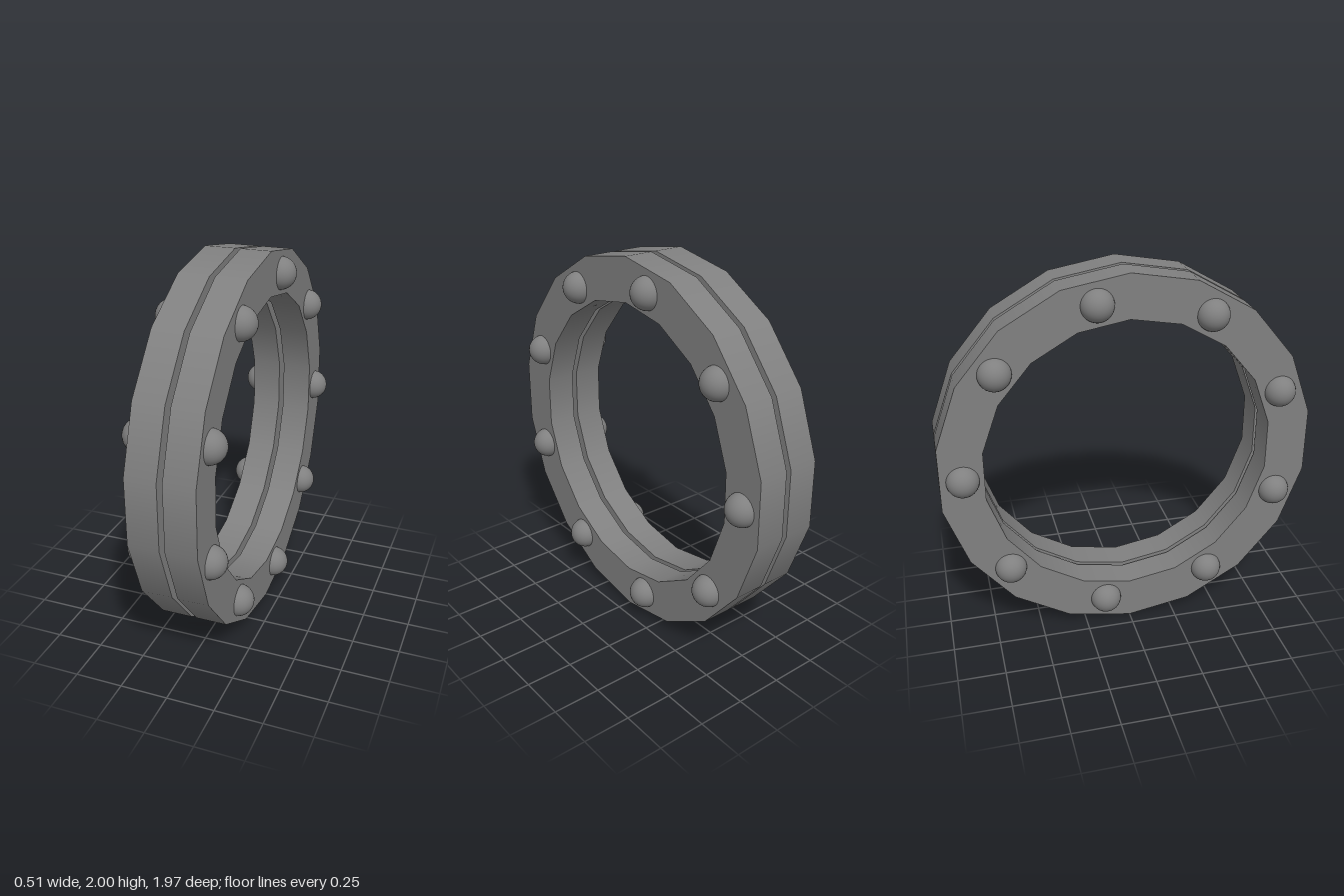
import * as THREE from 'three';
import { mergeGeometries } from 'three/addons/utils/BufferGeometryUtils.js';

const OUTER = 1, INNER = 0.77, SIDES = 18;
const GAP = 0.014, FACE = 0.175;          // inner and outer x of each ring
const STUDS = 9, STUD_RADIUS = 0.085, STUD_CIRCLE = 0.868, STUD_X = 0.168;

// Ring along x: each wall is its own lathe, so rims stay sharp and walls smooth
function ringGeometry(x0, x1) {
  const profile = [[OUTER, x0], [OUTER, x1], [INNER, x1], [INNER, x0]]
    .map(([r, h]) => new THREE.Vector2(r, h));
  const walls = profile.map((p, i) =>
    new THREE.LatheGeometry([p, profile[(i + 1) % 4]], SIDES, Math.PI / 2));
  return mergeGeometries(walls).rotateZ(-Math.PI / 2);
}

export function createModel() {
  const group = new THREE.Group();
  const grey = new THREE.MeshStandardMaterial({ color: 0x808080 });
  grey.name = 'grey';

  const studGeometry = new THREE.SphereGeometry(STUD_RADIUS, 32, 20);

  for (const side of [1, -1]) {
    const half = new THREE.Group();
    half.name = side > 0 ? 'leftHalf' : 'rightHalf';

    const ring = new THREE.Mesh(
      side > 0 ? ringGeometry(GAP, FACE) : ringGeometry(-FACE, -GAP), grey);
    ring.name = 'ring';
    ring.position.y = OUTER;
    half.add(ring);

    // Round studs evenly spaced on the outer face
    for (let i = 0; i < STUDS; i++) {
      const a = THREE.MathUtils.degToRad(10.9 + i * 360 / STUDS);
      const stud = new THREE.Mesh(studGeometry, grey);
      stud.name = 'stud';
      stud.position.set(side * STUD_X,
        OUTER + STUD_CIRCLE * Math.cos(a), -STUD_CIRCLE * Math.sin(a));
      half.add(stud);
    }
    group.add(half);
  }
  return group;
}
